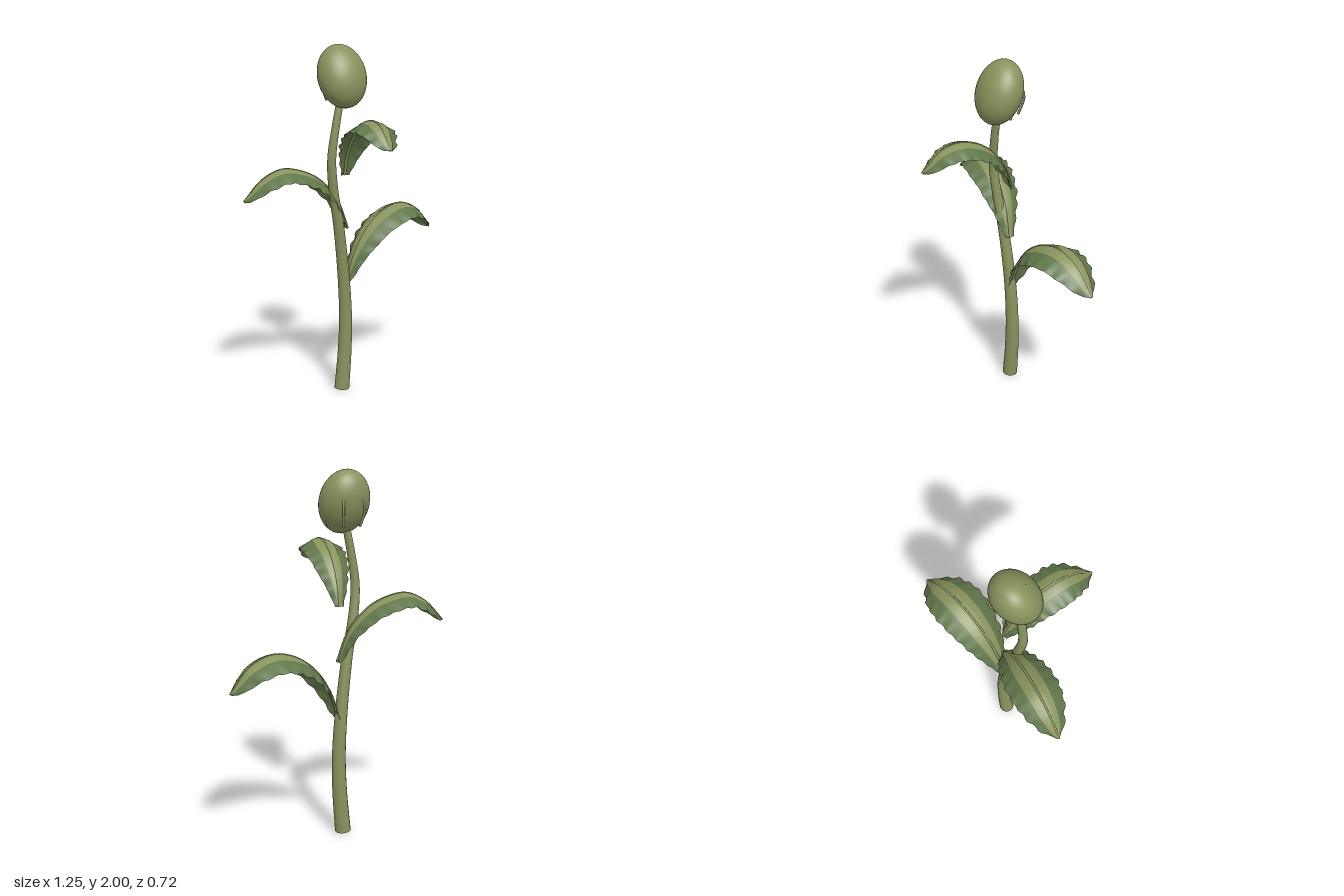
import * as THREE from 'three';

const mat = (name, color, side = THREE.FrontSide) => {
  const m = new THREE.MeshStandardMaterial({ color, side });
  m.name = name;
  return m;
};
const curveOf = (pts) => new THREE.CatmullRomCurve3(pts.map((p) => new THREE.Vector3(...p)));

// piecewise-linear lookup in [t, value] pairs
function lookup(table, t) {
  for (let i = 1; i < table.length; i++) {
    const [t0, v0] = table[i - 1], [t1, v1] = table[i];
    if (t <= t1) return v0 + ((v1 - v0) * (t - t0)) / (t1 - t0);
  }
  return table[table.length - 1][1];
}

// tube whose radius changes along its length
function taperedTube(curve, segments, sides, radiusAt) {
  const geo = new THREE.TubeGeometry(curve, segments, 1, sides);
  const pos = geo.attributes.position, uv = geo.attributes.uv;
  const p = new THREE.Vector3();
  for (let i = 0; i < pos.count; i++) {
    const t = uv.getX(i), c = curve.getPointAt(t);
    p.fromBufferAttribute(pos, i).sub(c).multiplyScalar(radiusAt(t)).add(c);
    pos.setXYZ(i, p.x, p.y, p.z);
  }
  return geo;
}

const WIDTH = [[0, 0.2], [0.12, 0.45], [0.3, 0.78], [0.5, 0.98], [0.65, 1], [0.8, 0.86], [0.92, 0.56], [0.97, 0.33], [1, 0.06]];

// arched leaf sheet with drooping, rippled edges; columns are positions across the blade
function leafSheet(curve, halfWidth, columns, lift) {
  const rows = 44, n = columns.length, verts = [], index = [];
  const dir = curve.getPointAt(1).sub(curve.getPointAt(0)).setY(0).normalize();
  const side = new THREE.Vector3(0, 1, 0).cross(dir);
  for (let i = 0; i <= rows; i++) {
    const t = i / rows, c = curve.getPointAt(t);
    const normal = curve.getTangentAt(t).cross(side).normalize();
    const w = halfWidth * lookup(WIDTH, t);
    for (const u of columns) {
      const edge = u * u * u * u;
      const ripple = Math.sin(t * 62 + (u > 0 ? 0 : 1.4)) * edge;
      const across = u * (w + 0.005 * ripple * Math.min(1, t * 4));
      const droop = -0.46 * w * Math.pow(Math.abs(u), 1.5) + 0.005 * ripple + lift;
      const p = c.clone().addScaledVector(side, across).addScaledVector(normal, droop);
      verts.push(p.x, p.y, p.z);
    }
  }
  for (let i = 0; i < rows; i++) {
    for (let j = 0; j < n - 1; j++) {
      const a = i * n + j, b = a + n;
      index.push(a, b, a + 1, b, b + 1, a + 1);
    }
  }
  const geo = new THREE.BufferGeometry();
  geo.setAttribute('position', new THREE.Float32BufferAttribute(verts, 3));
  geo.setIndex(index);
  geo.computeVertexNormals();
  return geo;
}

export function createModel() {
  const model = new THREE.Group();
  model.name = 'flowerBudPlant';
  const olive = mat('olive green', 0x88935c);
  const leafGreen = mat('leaf green', 0x60774a, THREE.DoubleSide);
  const add = (parent, name, geo, material) => {
    const mesh = new THREE.Mesh(geo, material);
    mesh.name = name;
    parent.add(mesh);
    return mesh;
  };

  // stem
  const stem = curveOf([
    [-0.05, 0.004, -0.193], [-0.03, 0.25, -0.19], [-0.027, 0.45, -0.185], [-0.045, 0.7, -0.177],
    [-0.087, 1.0, -0.16], [-0.128, 1.2, -0.145], [-0.148, 1.38, -0.13], [-0.125, 1.56, -0.122], [-0.092, 1.72, -0.12],
  ]);
  add(model, 'stem', taperedTube(stem, 60, 16, (t) => 0.044 - 0.024 * t), olive);
  const foot = add(model, 'stemFoot', new THREE.CircleGeometry(0.044, 16), olive);
  foot.rotation.x = Math.PI / 2;
  foot.position.set(-0.05, 0.004, -0.193);

  // bud, leaning backward
  const bud = add(model, 'bud', new THREE.SphereGeometry(1, 36, 26), olive);
  bud.scale.set(0.14, 0.176, 0.116);
  bud.rotation.x = -0.35;
  bud.position.set(-0.083, 1.83, -0.122);

  // six thin ribs that partly emerge from the bud
  for (let i = 0; i < 6; i++) {
    const a = (i * Math.PI) / 3;
    const rib = curveOf([[0.05, 1.965], [0.098, 1.88], [0.125, 1.8], [0.095, 1.705]].map(
      ([r, y]) => [-0.083 + r * Math.cos(a), y, -0.13 + r * Math.sin(a)]));
    add(model, 'budRib', new THREE.TubeGeometry(rib, 12, 0.007, 6), olive);
  }

  // leaves: green blade, olive middle band and midrib
  const leaves = [
    ['leftLeaf', 0.148, [[-0.03, 0.66, -0.18], [0.035, 0.83, -0.183], [0.13, 0.96, -0.19], [0.25, 1.04, -0.2],
      [0.38, 1.065, -0.215], [0.51, 1.015, -0.23], [0.62, 0.89, -0.242]]],
    ['rightLeaf', 0.13, [[-0.025, 0.975, -0.165], [-0.09, 1.15, -0.18], [-0.2, 1.27, -0.198], [-0.31, 1.322, -0.215],
      [-0.41, 1.335, -0.23], [-0.52, 1.285, -0.245], [-0.625, 1.175, -0.26]]],
    ['frontLeaf', 0.118, [[-0.035, 1.28, -0.175], [-0.04, 1.39, -0.14], [-0.048, 1.5, -0.07], [-0.056, 1.575, 0.02],
      [-0.068, 1.61, 0.14], [-0.08, 1.585, 0.24], [-0.095, 1.48, 0.35]]],
  ];
  const inner = [-0.45, -0.22, 0, 0.22, 0.45];
  for (const [name, halfWidth, points] of leaves) {
    const leaf = new THREE.Group();
    leaf.name = name;
    const spine = curveOf(points);
    add(leaf, 'blade', leafSheet(spine, halfWidth, [-1, -0.72, ...inner, 0.72, 1], 0), leafGreen);
    add(leaf, 'middleBand', leafSheet(spine, halfWidth, inner, 0.004), olive);
    add(leaf, 'midrib', taperedTube(spine, 36, 6, (t) => 0.009 - 0.003 * t), olive);
    model.add(leaf);
  }
  return model;
}
